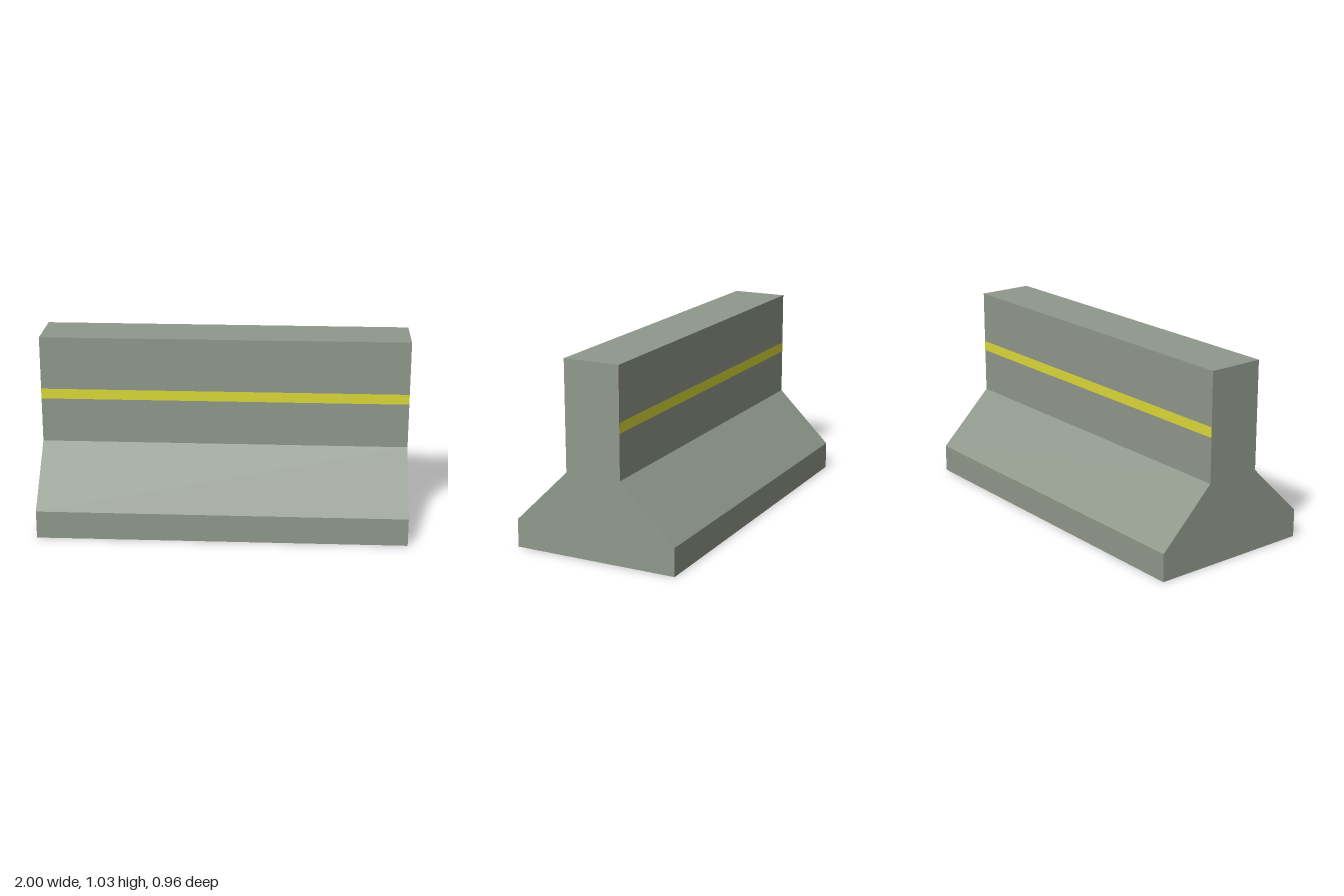
import * as THREE from 'three';

const LENGTH = 1.974;
const TOP_HALF = 0.153;

export function createModel() {
  const concrete = new THREE.MeshStandardMaterial({ color: 0x90988c });
  concrete.name = 'concrete';
  const yellow = new THREE.MeshStandardMaterial({ color: 0xdcda38 });
  yellow.name = 'yellow paint';

  const model = new THREE.Group();
  model.name = 'roadBarrier';

  // Everything sits slightly turned about the vertical axis
  const barrier = new THREE.Group();
  barrier.name = 'barrier';
  barrier.rotation.y = -0.0263;
  model.add(barrier);

  // Concrete body: stepped profile, mirrored front to back, extruded along x
  const half = [[0.452, 0], [0.452, 0.15], [TOP_HALF, 0.445], [TOP_HALF, 1.028]];
  const mirrored = half.map(([z, y]) => [-z, y]).reverse();
  const profile = new THREE.Shape([...half, ...mirrored].map(([z, y]) => new THREE.Vector2(z, y)));
  const bodyGeometry = new THREE.ExtrudeGeometry(profile, { depth: LENGTH, bevelEnabled: false });
  bodyGeometry.translate(0, 0, -LENGTH / 2);
  bodyGeometry.rotateY(Math.PI / 2);
  const body = new THREE.Mesh(bodyGeometry, concrete);
  body.name = 'concreteBody';
  barrier.add(body);

  // Painted stripe on the front and back of the upper wall
  for (const side of [1, -1]) {
    const stripe = new THREE.Mesh(new THREE.PlaneGeometry(LENGTH, 0.055), yellow);
    stripe.name = side > 0 ? 'frontStripe' : 'backStripe';
    stripe.position.set(0, 0.714, side * (TOP_HALF + 0.002));
    if (side < 0) stripe.rotation.y = Math.PI;
    barrier.add(stripe);
  }

  return model;
}
